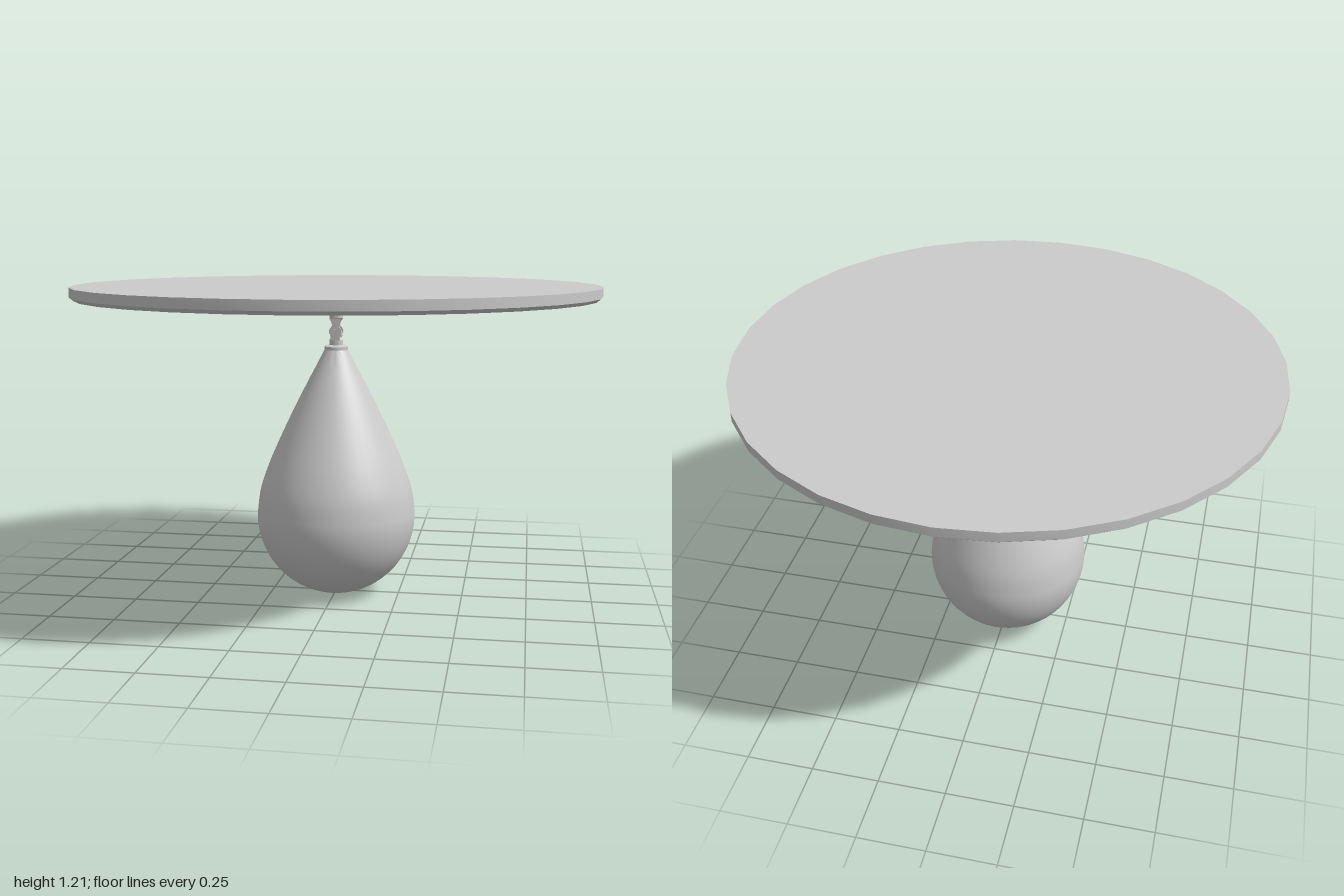
import * as THREE from 'three';
import { toCreasedNormals } from 'three/addons/utils/BufferGeometryUtils.js';

const material = new THREE.MeshStandardMaterial({ color: 0xcccccc });

export function createModel() {
  const model = new THREE.Group();

  const add = (name, geometry, x = 0, y = 0, z = 0) => {
    const mesh = new THREE.Mesh(geometry, material);
    mesh.name = name;
    mesh.position.set(x, y, z);
    model.add(mesh);
    return mesh;
  };
  // Turned part from [radius, height] pairs, listed bottom to top
  const turned = (name, profile, sides, crease = 0.6) => {
    const points = profile.map(([r, y]) => new THREE.Vector2(r, y));
    return add(name, toCreasedNormals(new THREE.LatheGeometry(points, sides), crease));
  };

  // Round board with a small chamfer underneath
  turned('board', [[0, 1.162], [0.985, 1.162], [1, 1.175], [1, 1.21], [0, 1.21]], 32, 0.5);

  // Teardrop bag: round bottom, then a long taper to the neck
  const profile = [];
  for (let i = 0; i <= 14; i++) {
    const a = (i / 14) * Math.PI / 2;
    profile.push([0.31 * Math.sin(a), 0.315 - 0.315 * Math.cos(a)]);
  }
  const taper = new THREE.SplineCurve([
    [0.31, 0.315], [0.298, 0.41], [0.265, 0.51], [0.222, 0.61],
    [0.175, 0.71], [0.125, 0.81], [0.075, 0.905], [0.042, 0.968],
  ].map(([r, y]) => new THREE.Vector2(r, y)));
  taper.getPoints(24).slice(1).forEach((p) => profile.push([p.x, p.y]));
  profile.push([0, 0.968]);
  turned('bag', profile, 48);

  // Collar closing the neck of the bag
  turned('neckCollar', [[0, 0.962], [0.046, 0.962], [0.046, 0.975], [0.03, 0.981], [0, 0.981]], 24);

  // Mount under the board: thin flange and stepped socket
  turned('mount', [
    [0, 1.112], [0.036, 1.112], [0.045, 1.122], [0.045, 1.153],
    [0.062, 1.155], [0.062, 1.164], [0, 1.164],
  ], 24);

  // Swivel stems above and below the joint
  turned('upperStem', [[0, 1.077], [0.02, 1.077], [0.027, 1.085], [0.027, 1.105], [0.02, 1.114], [0, 1.114]], 20);
  turned('lowerStem', [[0, 0.975], [0.027, 0.975], [0.027, 1.0], [0.018, 1.012], [0, 1.012]], 20);

  // Paired cheeks of the joint, open between them and waisted from the front
  const cheek = new THREE.Shape();
  cheek.moveTo(-0.02, 1.0);
  cheek.lineTo(0.02, 1.0);
  cheek.quadraticCurveTo(0.012, 1.015, 0.024, 1.028);
  cheek.quadraticCurveTo(0.026, 1.042, 0.012, 1.055);
  cheek.quadraticCurveTo(0.012, 1.07, 0.024, 1.083);
  cheek.lineTo(-0.024, 1.083);
  cheek.quadraticCurveTo(-0.012, 1.07, -0.012, 1.055);
  cheek.quadraticCurveTo(-0.026, 1.042, -0.024, 1.028);
  cheek.quadraticCurveTo(-0.012, 1.015, -0.02, 1.0);
  const cheekGeometry = new THREE.ExtrudeGeometry(cheek, { depth: 0.008, bevelEnabled: false, curveSegments: 5 });
  for (const side of [1, -1]) {
    add(side > 0 ? 'frontCheek' : 'backCheek', cheekGeometry, 0, 0, side * 0.023 - 0.004);
  }

  // Hinge pin and the eye it passes through
  add('hingePin', new THREE.CylinderGeometry(0.011, 0.011, 0.058, 12), 0, 1.03, 0).rotation.x = Math.PI / 2;
  add('hingeEye', new THREE.CylinderGeometry(0.022, 0.022, 0.04, 16), 0, 1.022, 0).rotation.x = Math.PI / 2;

  return model;
}
